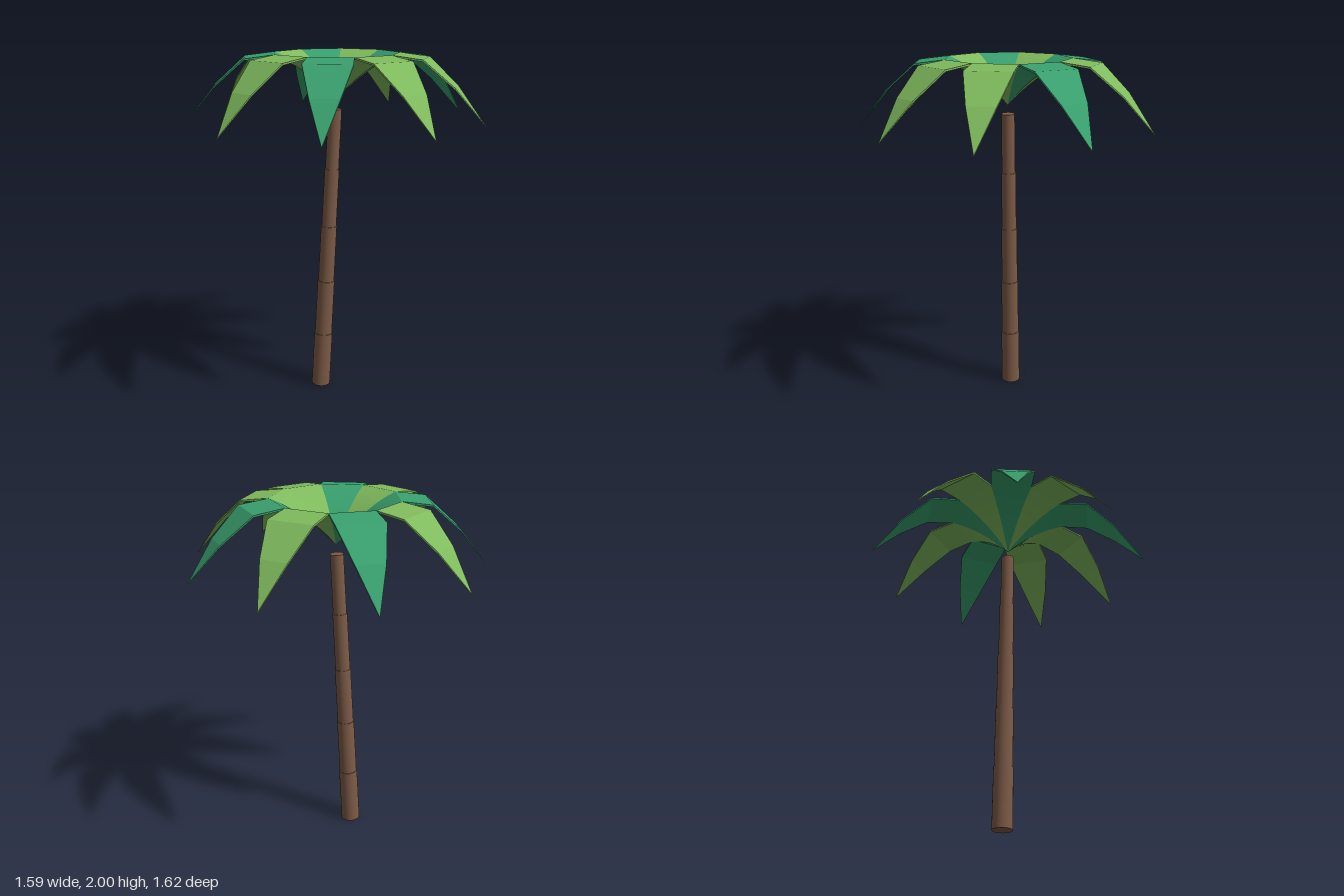
import * as THREE from 'three';
import { toCreasedNormals } from 'three/addons/utils/BufferGeometryUtils.js';

const FRONDS = 9;
const THICK = 0.01;

// Thin slab along +x; each row is [distance, height, half width]
function frondGeometry() {
  const rows = [];
  const steps = 6;
  const bowl = new THREE.QuadraticBezierCurve(
    new THREE.Vector2(0, 1.755), new THREE.Vector2(0.16, 1.935), new THREE.Vector2(0.33, 2));
  // Curved wedge that forms one slice of the central bowl
  for (const p of bowl.getPoints(steps)) {
    rows.push([p.x, p.y, p.x * Math.tan(Math.PI / FRONDS)]);
  }
  // Drooping blade
  rows.push([0.495, 1.98, 0.126], [0.66, 1.835, 0.075], [0.82, 1.635, 0]);

  const positions = [];
  const index = [];
  rows.forEach(([x, y, w], i) => {
    const low = i === rows.length - 1 ? y - THICK / 2 : y - THICK;
    positions.push(x, y, -w, x, y, w, x, low, -w, x, low, w);
  });
  const quad = (a, b, c, d) => index.push(a, b, c, a, c, d);
  for (let i = 0; i < rows.length - 1; i++) {
    const a = i * 4, n = a + 4;
    quad(a, a + 1, n + 1, n); // top
    quad(a + 2, n + 2, n + 3, a + 3); // underside
    if (i >= steps) {
      quad(a + 1, a + 3, n + 3, n + 1); // edges
      quad(a, n, n + 2, a + 2);
    }
  }
  const geometry = new THREE.BufferGeometry();
  geometry.setAttribute('position', new THREE.Float32BufferAttribute(positions, 3));
  geometry.setIndex(index);
  return toCreasedNormals(geometry, THREE.MathUtils.degToRad(9));
}

export function createModel() {
  const model = new THREE.Group();
  model.name = 'palmTree';

  const bark = new THREE.MeshStandardMaterial({ color: 0x7d5b47 });
  const greens = [0x7fba5d, 0x39a06e].map(
    (color) => new THREE.MeshStandardMaterial({ color, side: THREE.DoubleSide }));

  // Leaning trunk of stacked sections, each slightly slimmer than the last
  const trunk = new THREE.Group();
  trunk.name = 'trunk';
  trunk.position.set(-0.125, 0.003, 0);
  trunk.rotation.z = -0.056;
  const sections = 5, height = 0.339;
  for (let i = 0; i < sections; i++) {
    const radius = 0.055 - i * 0.0042;
    const section = new THREE.Mesh(
      new THREE.CylinderGeometry(radius - 0.001, radius, height, 24), bark);
    section.name = `trunkSection${i + 1}`;
    section.position.y = (i + 0.5) * height;
    trunk.add(section);
  }
  model.add(trunk);

  // Crown of alternating light and dark fronds
  const crown = new THREE.Group();
  crown.name = 'crown';
  crown.position.x = -0.025;
  const blade = frondGeometry();
  for (let i = 0; i < FRONDS; i++) {
    const frond = new THREE.Mesh(blade, greens[i % 2]);
    frond.name = `frond${i + 1}`;
    frond.rotation.y = (i / FRONDS) * Math.PI * 2;
    crown.add(frond);
  }
  model.add(crown);
  return model;
}
